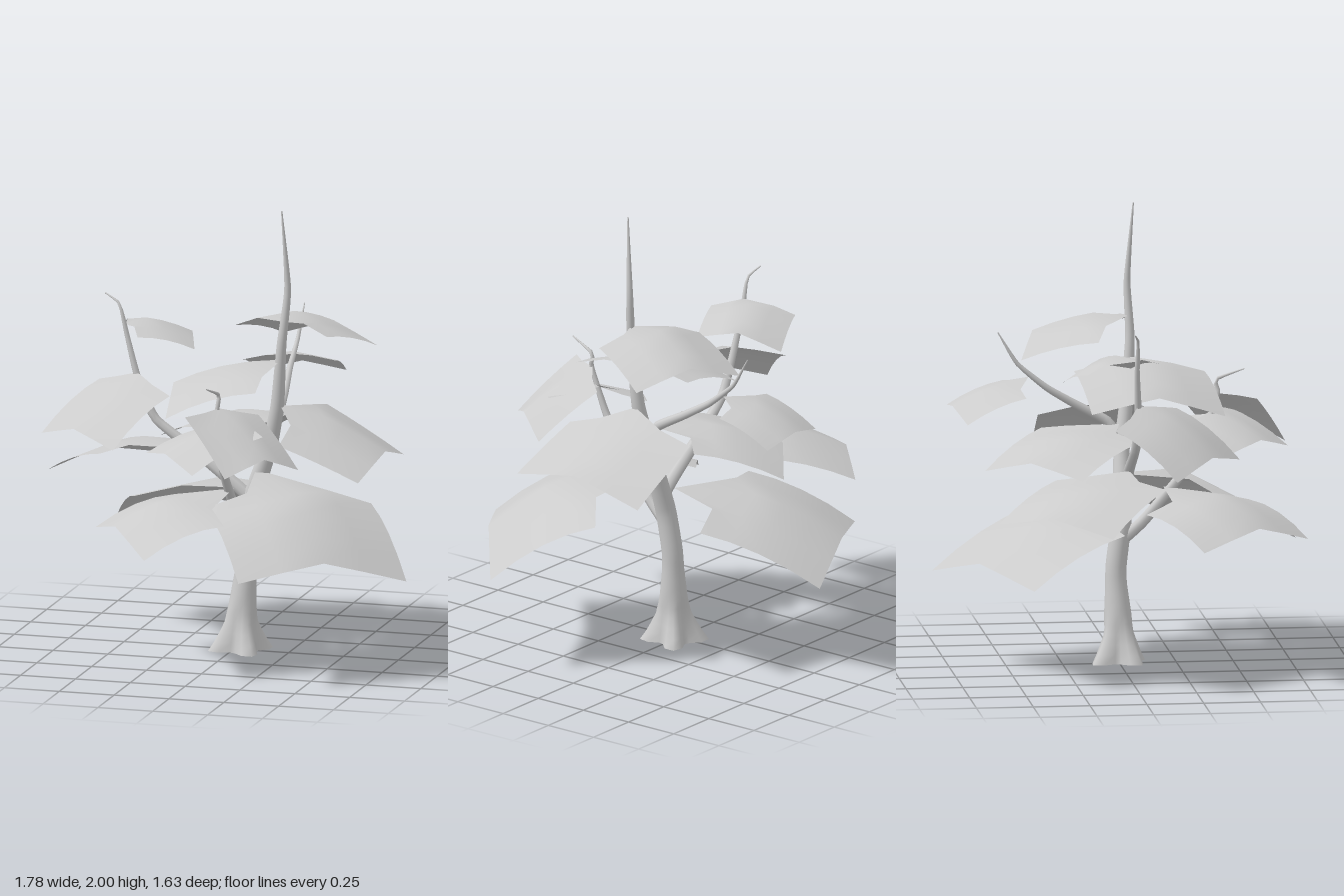
import * as THREE from 'three';

const V = (p) => new THREE.Vector3(...p);
const bark = new THREE.MeshStandardMaterial({ color: 0xcccccc, side: THREE.DoubleSide });
const foliage = new THREE.MeshStandardMaterial({ color: 0xcccccc, side: THREE.DoubleSide });

// Piecewise linear lookup in [[key, value], ...]
function lookup(table, t) {
  for (let i = 1; i < table.length; i++) {
    const [k0, v0] = table[i - 1], [k1, v1] = table[i];
    if (t <= k1) return v0 + (v1 - v0) * Math.max(0, (t - k0) / (k1 - k0));
  }
  return table[table.length - 1][1];
}

// Tube whose radius follows radius(t, compass angle, centre)
function limb(name, points, segments, sides, radius) {
  const curve = new THREE.CatmullRomCurve3(points.map(V), false, 'catmullrom', 0.25);
  const geo = new THREE.TubeGeometry(curve, segments, 1, sides, false);
  const pos = geo.attributes.position;
  const p = new THREE.Vector3();
  for (let i = 0; i <= segments; i++) {
    const c = curve.getPointAt(i / segments);
    for (let j = 0; j <= sides; j++) {
      const k = i * (sides + 1) + j;
      p.fromBufferAttribute(pos, k).sub(c);
      p.multiplyScalar(radius(i / segments, Math.atan2(p.z, p.x), c)).add(c);
      pos.setXYZ(k, p.x, Math.max(0, p.y), p.z);
    }
  }
  geo.computeVertexNormals();
  // Share normals across the tube seam
  const n = geo.attributes.normal;
  for (let i = 0; i <= segments; i++) {
    const a = i * (sides + 1), b = a + sides;
    const m = new THREE.Vector3().fromBufferAttribute(n, a)
      .add(new THREE.Vector3().fromBufferAttribute(n, b)).normalize();
    n.setXYZ(a, m.x, m.y, m.z);
    n.setXYZ(b, m.x, m.y, m.z);
  }
  const mesh = new THREE.Mesh(geo, bark);
  mesh.name = name;
  return mesh;
}

// Drooping sheet: two inner corners, two outer corners, ridge lift at the
// inner and outer edge, and the point on the wood where its tab attaches
function leaf({ inner, outer, lift, bow, stem }) {
  const cols = 4, rows = 4;
  const [a, b] = inner.map(V), [c, d] = outer.map(V);
  const out = c.clone().add(d).sub(a).sub(b).setY(0).normalize();
  const verts = [], index = [];
  for (let r = 0; r <= rows; r++) {
    const v = r / rows;
    for (let k = 0; k <= cols; k++) {
      const u = k / cols;
      const p = a.clone().lerp(b, u).lerp(c.clone().lerp(d, u), v);
      const ridge = Math.pow(1 - Math.abs(2 * u - 1), 0.95);
      p.addScaledVector(out, 0.02 * ridge * v);
      p.y += ridge * (lift[0] + (lift[1] - lift[0]) * v) + bow * 4 * v * (1 - v);
      if (r === 0 && k === cols / 2) p.copy(V(stem));
      verts.push(p.x, p.y, p.z);
      if (r < rows && k < cols) {
        const q = r * (cols + 1) + k, w = q + cols + 1;
        index.push(q, q + 1, w, q + 1, w + 1, w);
      }
    }
  }
  const geo = new THREE.BufferGeometry();
  geo.setAttribute('position', new THREE.Float32BufferAttribute(verts, 3));
  geo.setIndex(index);
  geo.computeVertexNormals();
  return new THREE.Mesh(geo, foliage);
}

const LEAVES = {
  lowFrontLeft: { inner: [[0, .73, .44], [.62, .69, -.02]], outer: [[.26, .49, .81], [.89, .44, .35]],
    lift: [.12, .09], bow: .04, stem: [.11, .82, .03] },
  lowBack: { inner: [[.31, .65, -.36], [-.46, .65, -.03]], outer: [[.05, .42, -.82], [-.67, .45, -.455]],
    lift: [.08, .08], bow: .03, stem: [.07, .72, -.03] },
  lowFrontRight: { inner: [[-.24, .7, .09], [.13, .69, .59]], outer: [[-.54, .58, .31], [-.17, .565, .81]],
    lift: [.08, .08], bow: .03, stem: [.06, .77, .2] },
  middleBackRight: { inner: [[-.17, .85, -.3], [-.57, .87, .14]], outer: [[-.5, .72, -.59], [-.89, .715, -.135]],
    lift: [.05, .06], bow: .02, stem: [-.2, .89, .02] },
  middleBack: { inner: [[.29, 1, -.31], [-.12, 1, .08]], outer: [[.01, .865, -.59], [-.4, .885, -.21]],
    lift: [.05, .06], bow: .02, stem: [.18, 1.03, .02] },
  middleLeft: { inner: [[.31, 1.01, .36], [.33, 1.05, -.32]], outer: [[.675, .87, .37], [.685, .85, -.305]],
    lift: [.09, .08], bow: .005, stem: [.23, 1.12, .06] },
  branchRight: { inner: [[-.64, 1.15, -.095], [-.225, 1.17, .225]], outer: [[-.83, .95, .155], [-.41, .97, .48]],
    lift: [.06, .06], bow: .025, stem: [-.43, 1.22, .03] },
  frontRight: { inner: [[-.02, 1.05, .19], [.28, 1.08, .5]], outer: [[-.27, .96, .44], [.03, .945, .745]],
    lift: [.05, .05], bow: .02, stem: [.05, 1.09, .4] },
  frontLeft: { inner: [[-.045, 1.17, .6], [.2, 1.13, .295]], outer: [[.18, .94, .75], [.425, .93, .445]],
    lift: [.03, .07], bow: .01, stem: [.06, 1.18, .43] },
  upperRight: { inner: [[.17, 1.27, -.18], [.215, 1.25, .4]], outer: [[-.24, 1.15, -.15], [-.18, 1.12, .445]],
    lift: [.07, .08], bow: .025, stem: [.23, 1.32, .07] },
  upperBack: { inner: [[.32, 1.21, -.475], [-.085, 1.2, -.42]], outer: [[.3, 1.11, -.725], [-.1, 1.09, -.68]],
    lift: [.04, .04], bow: .015, stem: [.17, 1.25, -.38] },
  upperFarRight: { inner: [[-.4, 1.4, .13], [-.56, 1.385, -.21]], outer: [[-.17, 1.34, .03], [-.33, 1.3, -.31]],
    lift: [.06, .06], bow: .015, stem: [-.49, 1.43, .02] },
  top: { inner: [[.45, 1.45, .09], [-.025, 1.43, -.095]], outer: [[.59, 1.35, -.225], [.105, 1.335, -.42]],
    lift: [.09, .08], bow: .015, stem: [.245, 1.5, .07] },
};

export function createModel() {
  const tree = new THREE.Group();
  tree.name = 'tree';

  // Trunk, with four root lobes flaring at the foot
  const girth = [[0, .112], [.06, .09], [.13, .068], [.35, .047], [.65, .045], [.9, .036],
    [1.15, .029], [1.4, .021], [1.65, .015], [2, .003]];
  tree.add(limb('trunk', [[.03, 0, 0], [.035, .14, 0], [.055, .4, -.01], [.07, .6, .015], [.115, .76, .025],
    [.17, .92, .03], [.215, 1.12, .055], [.24, 1.4, .075], [.265, 1.65, .065], [.245, 2, .09]],
  48, 20, (t, a, c) => {
    const lobes = Math.max(0, 1 - c.y / .2);
    return lookup(girth, c.y) * (1 + .35 * lobes * Math.cos(4 * (a - .96)));
  }));

  // Three main branches (path, thickness), tapering to thin bent twigs
  const branches = {
    rightBranch: [[[.09, .68, .02], [.02, .74, .02], [-.18, .89, .02], [-.35, 1.02, .03], [-.43, 1.2, .03],
      [-.48, 1.38, .02], [-.515, 1.52, .02], [-.585, 1.56, 0]], 1],
    backBranch: [[[.18, .94, .03], [.19, 1.04, -.03], [.18, 1.12, -.17], [.165, 1.2, -.3],
      [.165, 1.31, -.43], [.17, 1.45, -.515]], .8],
    frontBranch: [[[.06, .53, .01], [.05, .62, .11], [.045, .8, .26], [.04, .97, .37], [.055, 1.18, .44],
      [.06, 1.24, .43], [.04, 1.29, .555]], .9],
  };
  for (const [name, [path, thickness]] of Object.entries(branches)) {
    tree.add(limb(name, path, 32, 8, (t) => thickness * lookup([[0, .031], [.5, .02], [.85, .01], [1, .003]], t)));
  }

  // Leaf sheets
  const crown = new THREE.Group();
  crown.name = 'leaves';
  for (const [name, spec] of Object.entries(LEAVES)) {
    const sheet = leaf(spec);
    sheet.name = name + 'Leaf';
    crown.add(sheet);
  }
  tree.add(crown);
  return tree;
}
